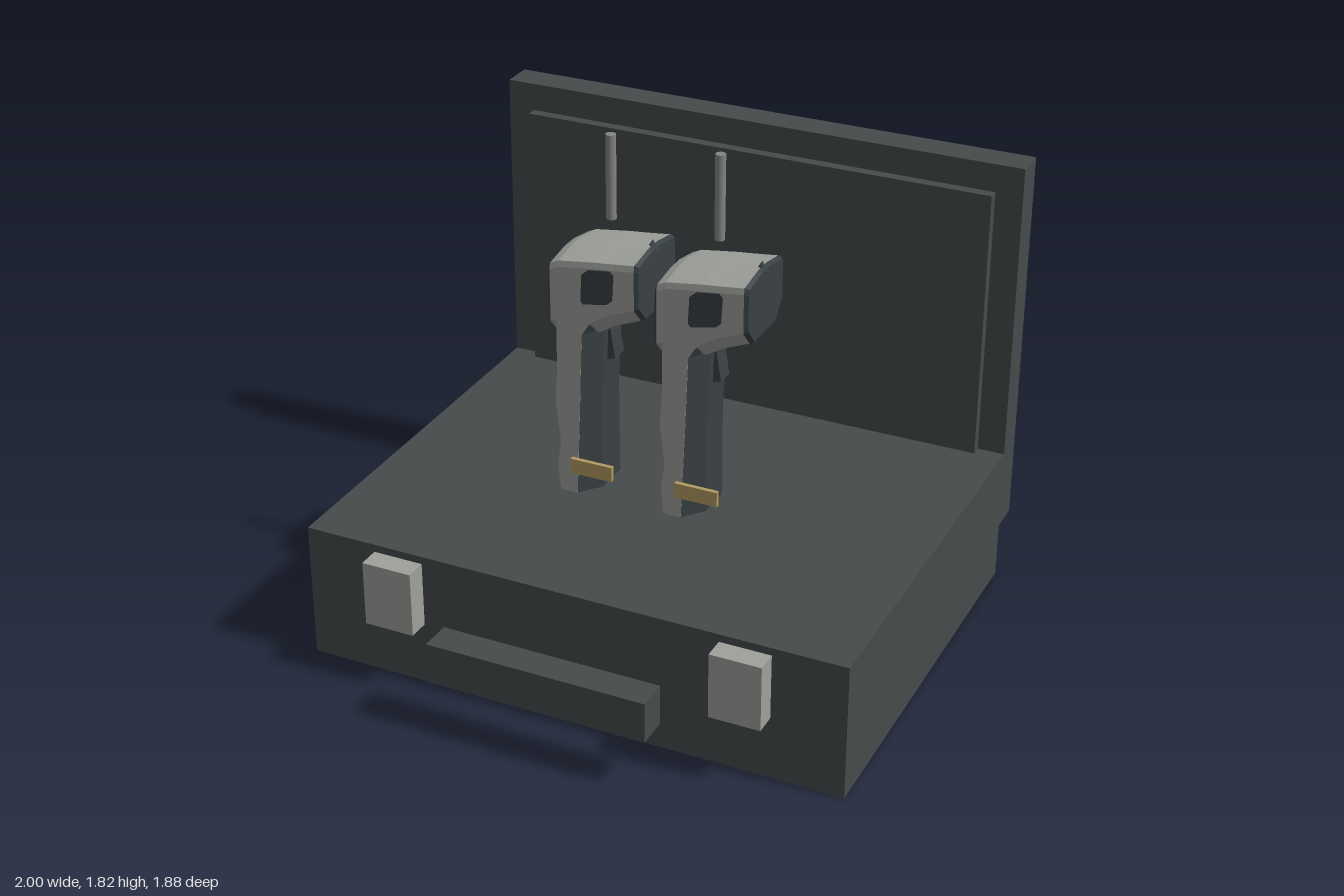
import * as THREE from 'three';

const mat = (name, color) => {
  const m = new THREE.MeshStandardMaterial({ color });
  m.name = name;
  return m;
};

export function createModel() {
  const charcoal = mat('charcoal', 0x464a4b);
  const slate = mat('slate', 0x394043);
  const silver = mat('silver', 0x9fa19c);
  const steel = mat('steel', 0x858584);
  const brass = mat('brass', 0xb39b60);

  const model = new THREE.Group();
  model.name = 'openCase';

  const add = (parent, name, geometry, material, x = 0, y = 0, z = 0) => {
    const mesh = new THREE.Mesh(geometry, material);
    mesh.name = name;
    mesh.position.set(x, y, z);
    parent.add(mesh);
    return mesh;
  };

  // Box given by its two extreme corners
  const box = (parent, name, material, [x0, y0, z0], [x1, y1, z1]) =>
    add(parent, name, new THREE.BoxGeometry(x1 - x0, y1 - y0, z1 - z0), material,
      (x0 + x1) / 2, (y0 + y1) / 2, (z0 + z1) / 2);

  // Flat side profile extruded across the width, centred on z
  const slab = (points, width, z = 0) => {
    const shape = new THREE.Shape(points.map(([x, y]) => new THREE.Vector2(x, y)));
    return new THREE.ExtrudeGeometry(shape, { depth: width, bevelEnabled: false })
      .translate(0, 0, z - width / 2);
  };

  // Faceted skin between equal-length rings, with end caps
  const loft = (rings) => {
    const pos = [];
    const tri = (...pts) => pts.forEach((p) => pos.push(...p));
    const n = rings[0].length;
    for (let i = 0; i < rings.length - 1; i++) {
      for (let j = 0; j < n; j++) {
        const k = (j + 1) % n;
        const a = rings[i][j], b = rings[i][k], c = rings[i + 1][k], d = rings[i + 1][j];
        tri(a, b, c);
        tri(a, c, d);
      }
    }
    const first = rings[0], last = rings[rings.length - 1];
    for (let j = 1; j < n - 1; j++) {
      tri(first[0], first[j + 1], first[j]);
      tri(last[0], last[j], last[j + 1]);
    }
    const g = new THREE.BufferGeometry();
    g.setAttribute('position', new THREE.Float32BufferAttribute(pos, 3));
    g.computeVertexNormals();
    return g;
  };

  // Case: base, raised lid, lid lining, carrying handle and latches
  box(model, 'caseBase', charcoal, [-1, 0, -0.82], [1, 0.505, 0.7]);
  box(model, 'caseLid', charcoal, [-1, 0.205, -0.94], [1, 1.62, -0.82]);
  box(model, 'lidLining', charcoal, [-0.9, 0.45, -0.82], [0.9, 1.517, -0.78]);
  box(model, 'caseHandle', charcoal, [-0.4, 0.19, 0.825], [0.4, 0.34, 0.94]);
  for (const s of [-1, 1]) {
    const latch = box(model, 'latch', silver, [-0.0925, 0.235, 0.7], [0.0925, 0.477, 0.78]);
    latch.position.x = s * 0.6425;
  }

  // Head cross-section across x: shallow roof, flat sides, chamfered underside
  const headRing = (x, top, bottom, half, lean = 0) => {
    const mid = (top + bottom) / 2;
    return [
      [0.035, top], [half - 0.005, top - 0.018], [half, top - 0.04], [half, bottom + 0.062],
      [half * 0.62, bottom], [-half * 0.62, bottom], [-half, bottom + 0.062],
      [-half, top - 0.04], [-half + 0.005, top - 0.018], [-0.035, top],
    ].map(([z, y]) => [x + lean * (y - mid), y, z]);
  };

  // Grip front cross-section across y: wide at the rear, bevelled to a narrow front
  const gripRing = (y, rear, front) => [
    [rear - 0.02, y, 0.146], [rear, y, 0.146], [front, y, 0.068],
    [front, y, -0.068], [rear, y, -0.146], [rear - 0.02, y, -0.146],
  ];

  const windowShape = [[-0.045, 1.26], [-0.035, 1.25], [0.055, 1.268], [0.075, 1.285],
    [0.08, 1.38], [0.068, 1.393], [-0.015, 1.382], [-0.04, 1.36]];

  const makeDevice = () => {
    const d = new THREE.Group();
    d.name = 'handheldDevice';

    // Head with dark end rims
    add(d, 'head', loft([
      headRing(-0.162, 1.395, 1.1, 0.148), headRing(-0.13, 1.41, 1.115, 0.148),
      headRing(0, 1.428, 1.128, 0.148), headRing(0.06, 1.434, 1.165, 0.148),
      headRing(0.155, 1.445, 1.203, 0.148),
    ]), silver);
    add(d, 'muzzle', loft([
      headRing(0.155, 1.447, 1.202, 0.149), headRing(0.17, 1.44, 1.212, 0.143),
    ]), slate);
    add(d, 'rearRim', loft([
      headRing(-0.175, 1.375, 1.11, 0.135), headRing(-0.162, 1.397, 1.098, 0.149),
    ]), slate);
    add(d, 'rearPanel', loft([
      headRing(-0.18, 1.355, 1.13, 0.115), headRing(-0.174, 1.355, 1.13, 0.115),
    ]), silver);
    add(d, 'frontSight', new THREE.ConeGeometry(0.022, 0.035, 4), slate, 0.155, 1.45, 0);

    // Side windows
    for (const s of [-1, 1]) add(d, 'sideWindow', slab(windowShape, 0.005, s * 0.149), slate);

    // Grip: contoured pale back half, dark bevelled front
    add(d, 'gripBack', slab([
      [-0.07, 0.5], [-0.055, 0.85], [-0.045, 1.13], [-0.025, 1.165], [0.01, 1.2],
      [-0.14, 1.2], [-0.142, 0.97], [-0.15, 0.85], [-0.132, 0.7], [-0.145, 0.6], [-0.135, 0.5],
    ], 0.294), silver);
    add(d, 'gripFront', loft([
      gripRing(0.5, -0.07, -0.008), gripRing(0.85, -0.055, -0.01),
      gripRing(1.13, -0.045, 0.002), gripRing(1.17, -0.03, 0.02),
    ]), slate);
    add(d, 'trigger', slab([[-0.015, 0.995], [0.027, 1.005], [0.008, 1.12], [0.02, 1.17],
      [-0.02, 1.17]], 0.07), slate);

    // Floating antenna rod and brass tag
    add(d, 'antenna', new THREE.CylinderGeometry(0.018, 0.018, 0.305, 16), steel, 0, 1.667, 0);
    add(d, 'brassTag', new THREE.BoxGeometry(0.16, 0.056, 0.016), brass, 0, 0.628, 0.17);
    return d;
  };

  for (const x of [-0.2, 0.2]) {
    const device = makeDevice();
    device.position.set(x, 0, -0.058);
    model.add(device);
  }
  return model;
}
